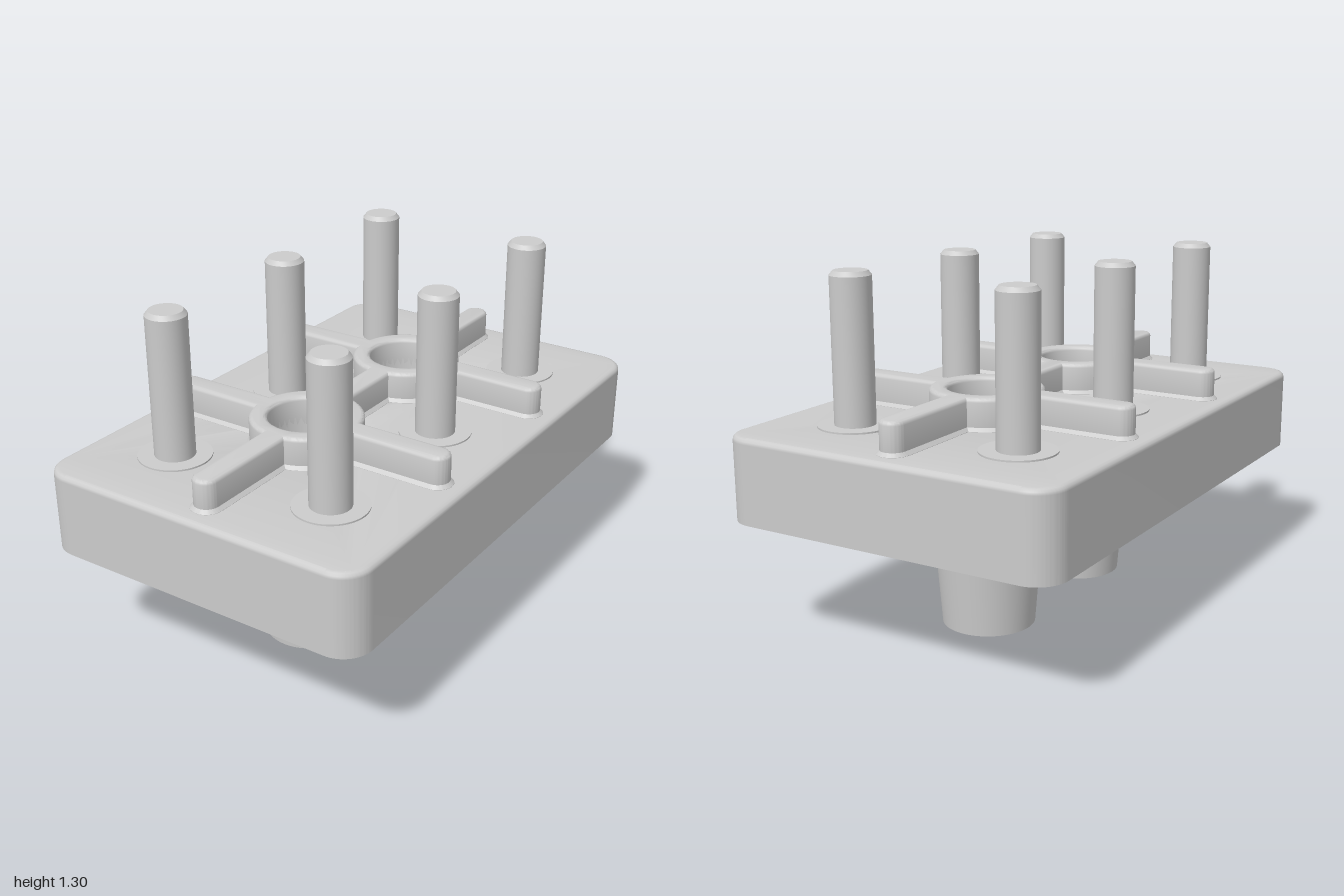
import * as THREE from 'three';
import { toCreasedNormals } from 'three/addons/utils/BufferGeometryUtils.js';

const material = new THREE.MeshStandardMaterial({ color: 0xcccccc });
const WELLS = [-0.33, 0.33];
const { PI } = Math;

function part(name, geometry, x = 0, y = 0, z = 0) {
  const mesh = new THREE.Mesh(toCreasedNormals(geometry, 0.6), material);
  mesh.name = name;
  mesh.position.set(x, y, z);
  return mesh;
}

function lathe(points, segments = 48) {
  return new THREE.LatheGeometry(points.map(([r, y]) => new THREE.Vector2(r, y)), segments);
}

// Extrudes a plan outline upwards from y0 to y1; the bevel is included in the height.
function slab(shape, y0, y1, bevel = 0, segments = 3, offset = -bevel) {
  const geometry = new THREE.ExtrudeGeometry(shape, {
    depth: y1 - y0 - 2 * bevel, curveSegments: 20, bevelEnabled: bevel > 0,
    bevelSize: bevel, bevelThickness: bevel, bevelOffset: offset, bevelSegments: segments,
  });
  return geometry.rotateX(-PI / 2).translate(0, y0 + bevel, 0);
}

function cutWells(shape, radius) {
  for (const c of WELLS) shape.holes.push(new THREE.Path().absarc(0, c, radius, 0, 2 * PI, true));
  return shape;
}

function plateShape() {
  const w = 0.645, l = 1, r = 0.11, s = new THREE.Shape();
  s.absarc(w - r, -l + r, r, -PI / 2, 0);
  s.absarc(w - r, l - r, r, 0, PI / 2);
  s.absarc(-w + r, l - r, r, PI / 2, PI);
  s.absarc(-w + r, -l + r, r, PI, 1.5 * PI);
  return cutWells(s, 0.165);
}

// One outline for the long rib, both cross ribs and both rings.
function ribShape(holeRadius) {
  const w = 0.046, R = 0.205, a = Math.asin(w / R), endX = 0.58 - w, endZ = 0.93 - w;
  const s = new THREE.Shape();
  const side = (c, t, x) => {
    s.absarc(0, c, R, t - PI / 2 + a, t - a);
    s.absarc(x, c, w, t - PI / 2, t + PI / 2);
    s.absarc(0, c, R, t + a, t + PI / 2 - a);
  };
  s.absarc(0, -endZ, w, PI, 2 * PI);
  for (const c of WELLS) side(c, 0, endX);
  s.absarc(0, endZ, w, 0, PI);
  for (const c of [...WELLS].reverse()) side(c, PI, -endX);
  return cutWells(s, holeRadius);
}

// Hexagon head with a conical chamfer underneath; corners point along z.
function hexHead() {
  const flat = 0.119, geometry = lathe([[0, 0], [0.113, 0], [0.2, 0.01], [0.2, 0.05]], 72);
  const p = geometry.attributes.position;
  for (let i = 0; i < p.count; i++) {
    const x = p.getX(i), z = p.getZ(i);
    if (Math.hypot(x, z) < 0.15) continue;
    const t = Math.atan2(z, x), local = t - Math.round(t / (PI / 3)) * (PI / 3);
    const r = flat / Math.cos(local);
    const y = p.getY(i) < 0.03 ? (r - 0.113) * 0.85 : 0.05;
    p.setXYZ(i, r * Math.cos(t), y, r * Math.sin(t));
  }
  return geometry;
}

function bolt(x, z) {
  const group = new THREE.Group();
  group.name = 'bolt';
  group.position.set(x, 0, z);
  group.add(
    part('stud', lathe([[0.073, 0.5], [0.073, 1.288], [0.06, 1.304], [0, 1.304]], 32)),
    part('collar', lathe([[0.132, 0.74], [0.132, 0.771], [0, 0.771]])),
    part('boltHead', hexHead(), 0, 0.425, 0),
  );
  return group;
}

// Domed screw head with a cross recess, sitting on the well floor.
function screw(z, turn) {
  const group = new THREE.Group();
  group.name = 'screw';
  group.position.set(0, 0.2, z);
  group.rotation.y = turn;

  const outline = new THREE.Shape().absarc(0, 0, 0.098, 0, 2 * PI);
  const n = 0.008, l = 0.052;
  const cross = [];
  for (let i = 0; i < 4; i++) {
    const c = Math.round(Math.cos(i * PI / 2)), s = Math.round(Math.sin(i * PI / 2));
    for (const [u, v] of [[l, -n], [l, n], [n, n]]) cross.push(new THREE.Vector2(u * c - v * s, u * s + v * c));
  }
  outline.holes.push(new THREE.Path(cross.reverse()));
  const head = slab(outline, 0, 0.09, 0.012, 2, 0);
  const p = head.attributes.position;
  for (let i = 0; i < p.count; i++) {
    const r = Math.hypot(p.getX(i), p.getZ(i));
    if (p.getY(i) > 0.05) p.setY(i, p.getY(i) - 3 * r * r);
  }
  group.add(
    part('screwHead', head),
    part('recessFloor', lathe([[0.09, 0], [0.09, 0.04], [0, 0.04]])),
    part('screwShank', lathe([[0, -0.1], [0.076, -0.1], [0.076, 0.01]], 24)),
  );
  return group;
}

export function createModel() {
  const model = new THREE.Group();
  model.name = 'terminalBlock';

  // Plate with a sharp lower edge and a rounded upper edge
  const plate = new THREE.Group();
  plate.name = 'basePlate';
  plate.add(
    part('plateBody', slab(plateShape(), 0.46, 0.745)),
    part('plateTop', slab(plateShape(), 0.724, 0.765, 0.02)),
  );
  model.add(plate);

  // Raised ribs and rings, with a small skirt where they meet the plate
  model.add(
    part('ribs', slab(ribShape(0.14), 0.73, 0.88, 0.015)),
    part('ribSkirt', slab(ribShape(0.165), 0.753, 0.778, 0.012, 1, 0)),
  );

  // Tapered hollow posts, each with a screw down its well
  WELLS.forEach((z, i) => {
    model.add(part('post', lathe([
      [0.078, 0], [0.17, 0], [0.207, 0.465], [0.16, 0.48], [0.16, 0.8],
      [0.14, 0.8], [0.132, 0.2], [0.078, 0.2], [0.078, 0],
    ], 64), 0, 0, z));
    model.add(screw(z, i ? 0.25 : 0.5));
  });

  // Six bolts in two rows
  for (const x of [-0.33, 0.33]) for (const z of [-0.66, 0, 0.66]) model.add(bolt(x, z));

  return model;
}
